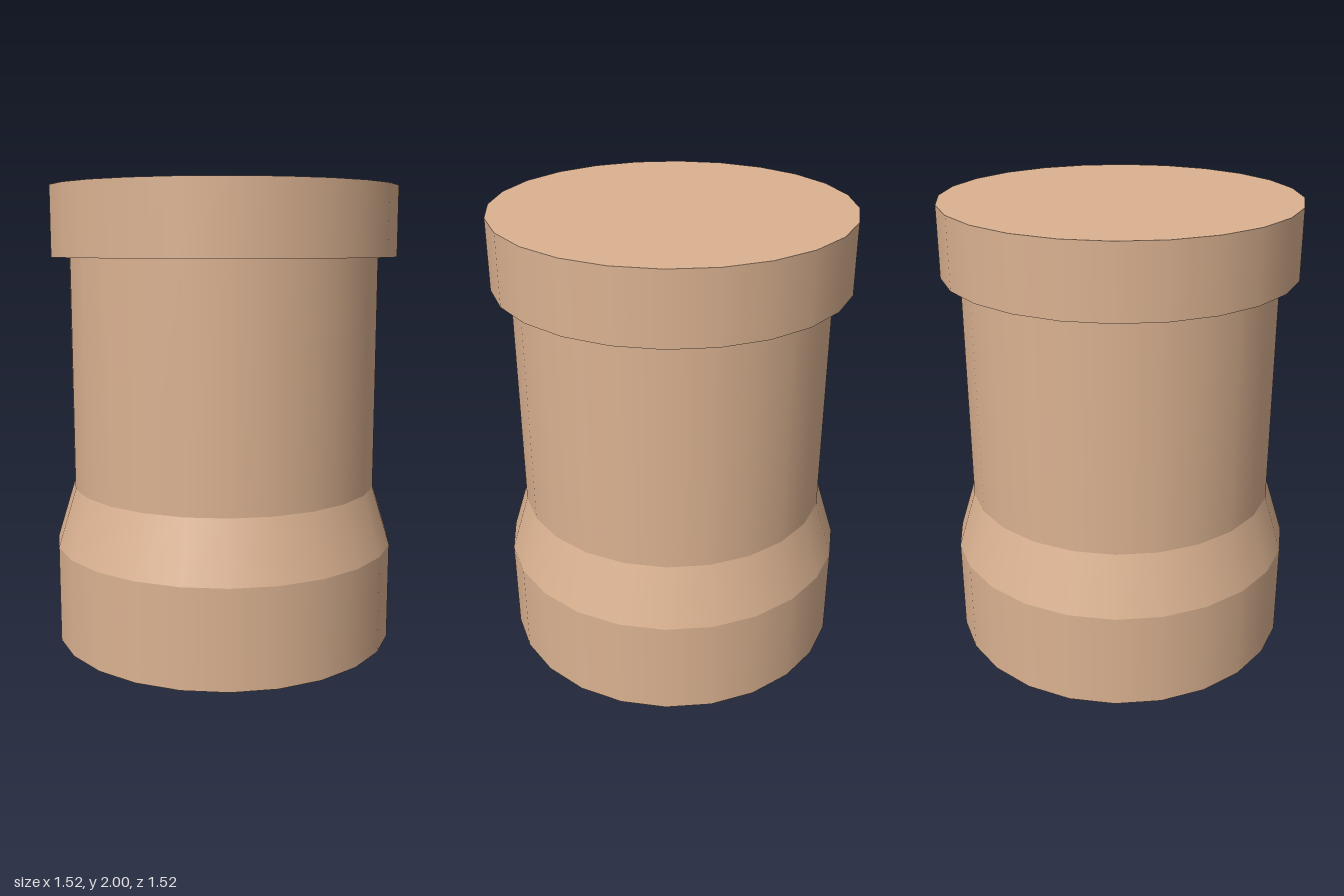
import * as THREE from 'three';

const SIDES = 24;
const WIDE = 0.76;
const NARROW = 0.68;

export function createModel() {
  const group = new THREE.Group();
  group.name = 'column';
  const clay = new THREE.MeshStandardMaterial({ color: 0xdbb291 });
  clay.name = 'clay';

  // One round section between two heights, smooth around and sharp at its rims
  function section(name, bottomRadius, topRadius, y0, y1, open) {
    const geometry = new THREE.CylinderGeometry(topRadius, bottomRadius, y1 - y0, SIDES, 1, open);
    const mesh = new THREE.Mesh(geometry, clay);
    mesh.name = name;
    mesh.position.y = (y0 + y1) / 2;
    group.add(mesh);
  }

  section('base', WIDE, WIDE, 0, 0.43, true);
  section('taper', WIDE, NARROW, 0.43, 0.69, true);
  section('shaft', NARROW, NARROW, 0.69, 1.7, true);
  section('cap', WIDE, WIDE, 1.7, 2, false);

  // Underside closing the base
  const underside = new THREE.Mesh(new THREE.CircleGeometry(WIDE, SIDES), clay);
  underside.name = 'underside';
  underside.rotation.x = Math.PI / 2;
  group.add(underside);

  return group;
}
